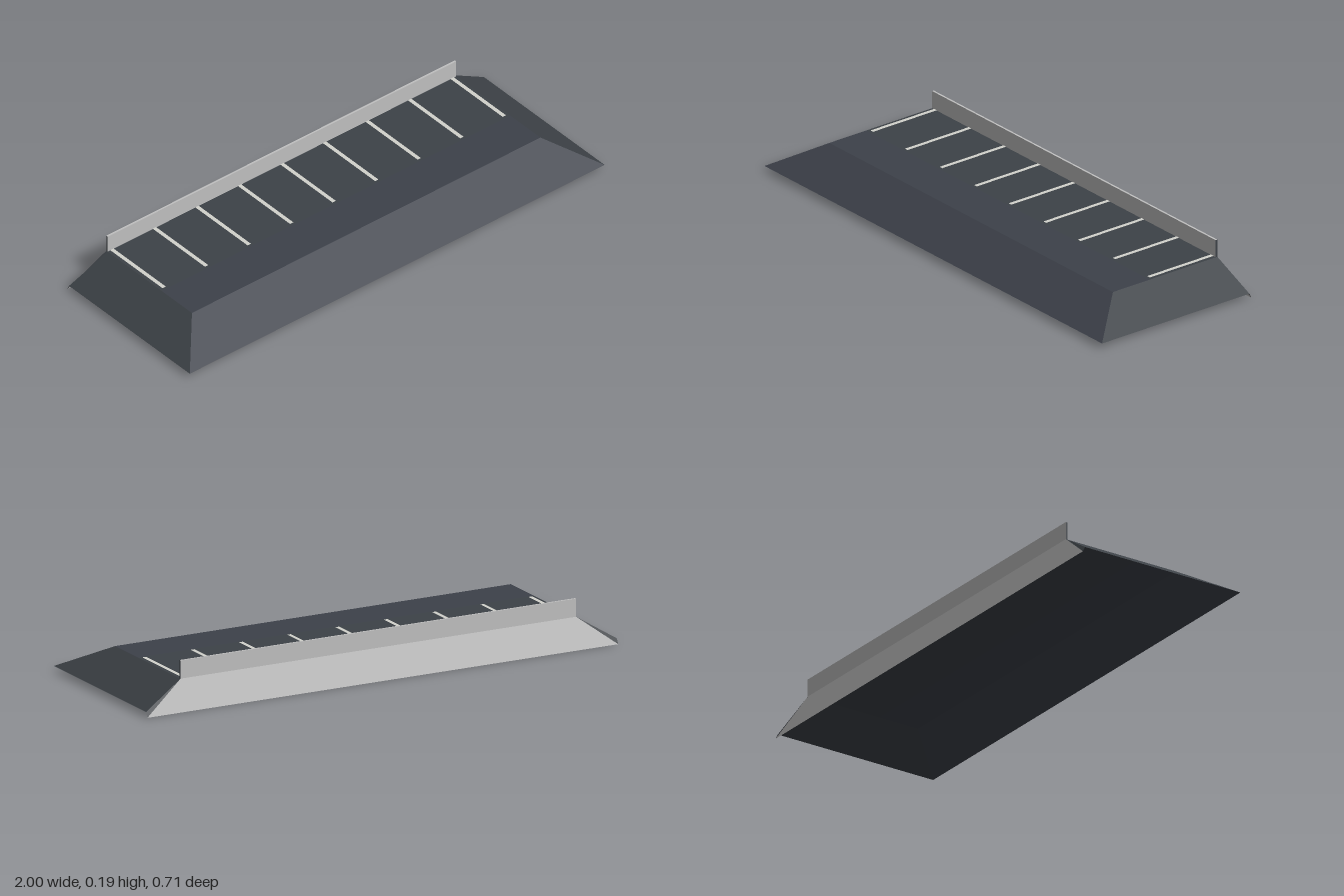
import * as THREE from 'three';

const mat = (name, color) =>
  new THREE.MeshStandardMaterial({ name, color, side: THREE.DoubleSide });

// Flat four-cornered panel, corners counter-clockwise seen from outside
function panel(name, material, a, b, c, d) {
  const g = new THREE.BufferGeometry();
  g.setAttribute('position', new THREE.Float32BufferAttribute([a, b, c, a, c, d].flat(), 3));
  g.computeVertexNormals();
  const m = new THREE.Mesh(g, material);
  m.name = name;
  return m;
}

export function createModel() {
  const asphalt = mat('asphalt', 0x3d4247);
  const lane = mat('laneAsphalt', 0x3d414a);
  const concrete = mat('concrete', 0xc0c0c0);
  const paint = mat('linePaint', 0xd2d2cc);

  const group = new THREE.Group();
  group.name = 'parkingPlatform';

  const W = 0.84, TOP = 0.12, LOW = 0.02, RAIL = 0.19; // deck half width and heights
  const FRONT = 0.175, FOOT = 0.355;                   // deck front and slope foot
  const IN = -0.313, OUT = -0.321;                     // rail faces

  // Deck: parking bays behind, driving lane in front
  group.add(
    panel('parkingBays', asphalt, [-W, TOP, 0], [W, TOP, 0], [W, TOP, IN], [-W, TOP, IN]),
    panel('drivingLane', lane, [-W, TOP, FRONT], [W, TOP, FRONT], [W, TOP, 0], [-W, TOP, 0]),
    panel('frontSlope', lane, [-1, LOW, FOOT], [1, LOW, FOOT], [W, TOP, FRONT], [-W, TOP, FRONT])
  );

  // Side slopes, wall ends and rail ends, mirrored
  for (const s of [-1, 1]) {
    const add = (name, ...p) => group.add(panel(name, asphalt, ...(s > 0 ? p : p.reverse())));
    const side = s > 0 ? 'left' : 'right';
    add(side + 'Slope', [s, LOW, FOOT], [s, LOW, -0.345], [s * W, TOP, IN], [s * W, TOP, FRONT]);
    add(side + 'WallEnd', [s, LOW, -0.345], [s, 0, -FOOT], [s * W, TOP, OUT], [s * W, TOP, IN]);
    add(side + 'RailEnd', [s * W, TOP, IN], [s * W, TOP, OUT], [s * W, RAIL, OUT], [s * W, RAIL, IN]);
  }

  // Concrete back wall and the rail above it
  group.add(
    panel('backWall', concrete, [1, 0, -FOOT], [-1, 0, -FOOT], [-W, TOP, OUT], [W, TOP, OUT]),
    panel('railBack', concrete, [W, TOP, OUT], [-W, TOP, OUT], [-W, RAIL, OUT], [W, RAIL, OUT]),
    panel('railTop', concrete, [-W, RAIL, IN], [W, RAIL, IN], [W, RAIL, OUT], [-W, RAIL, OUT]),
    panel('railFront', concrete, [-W, TOP, IN], [W, TOP, IN], [W, RAIL, IN], [-W, RAIL, IN])
  );

  // Painted bay lines
  for (let i = -4; i <= 4; i++) {
    const x = i * 0.205, h = 0.008, y = TOP + 0.0015;
    group.add(panel('bayLine', paint, [x - h, y, -0.01], [x + h, y, -0.01], [x + h, y, IN], [x - h, y, IN]));
  }
  return group;
}
